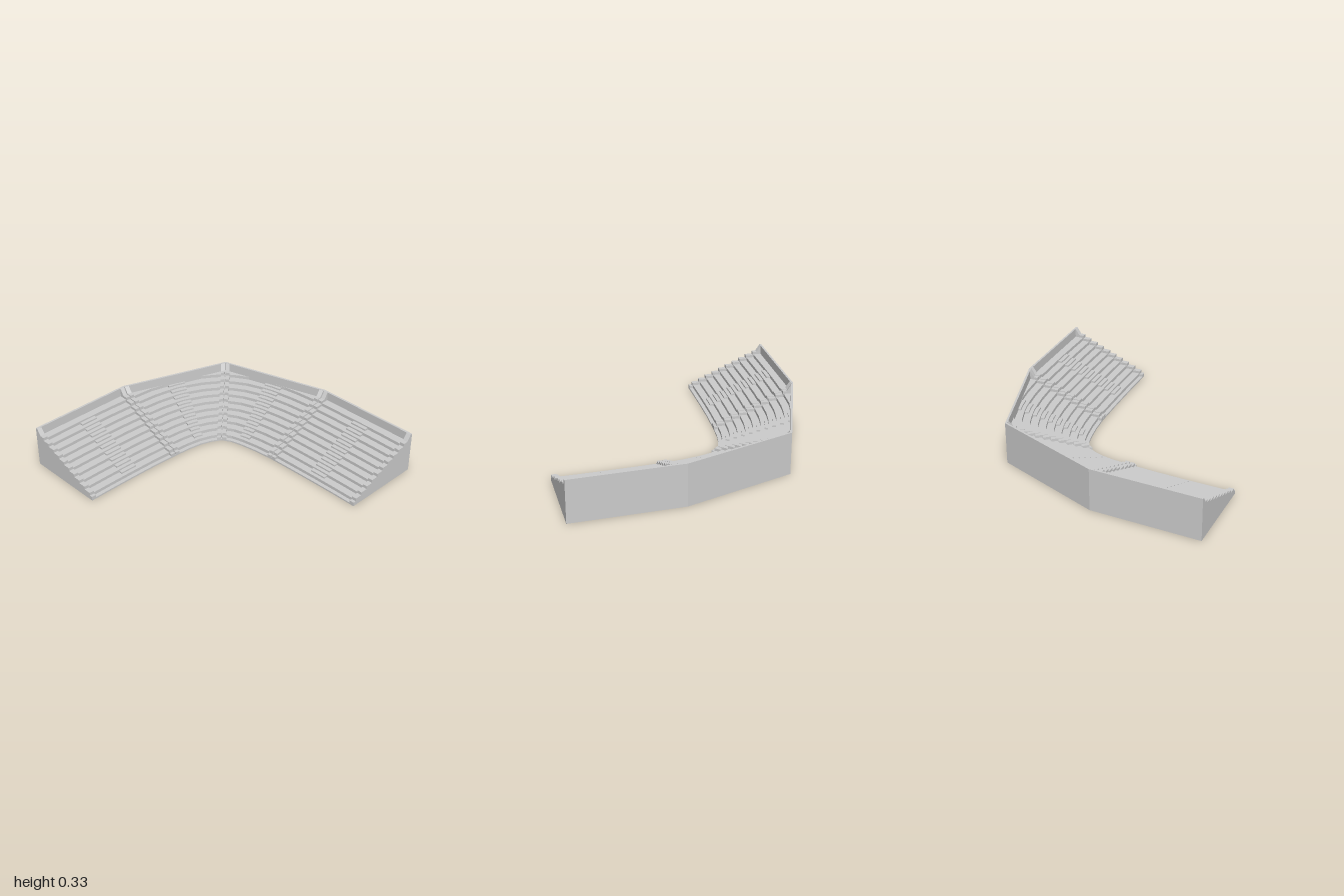
import * as THREE from 'three';

const WALL_TOP = 0.33, WALL = 0.016, TIERS = 11;
const CURB_WIDTH = 0.038, CURB_GAP = 0.004, CURB_RISE = 0.02;
const tierY = k => 0.012 + 0.0248 * k;          // tread height of tier k
const riserD = k => 0.03 + 0.0577 * (k - 1);    // distance of riser k from the inner edge

// Each section: inner edge points, and the two ends of its straight back wall
const SECTIONS = [
  { inner: [[-0.972, -0.372], [-0.78, -0.371], [-0.58, -0.368], [-0.37, -0.362], [-0.17, -0.35]],
    outer: [[-0.972, -1], [-0.14, -0.982]] },
  { inner: [[-0.17, -0.35], [-0.03, -0.338], [0.07, -0.32], [0.155, -0.29], [0.225, -0.25]],
    outer: [[-0.14, -0.982], [0.685, -0.675]] },
  { inner: [[0.225, -0.25], [0.262, -0.185], [0.285, -0.1], [0.308, 0.03], [0.325, 0.19]],
    outer: [[0.685, -0.675], [0.953, 0.16]] },
  { inner: [[0.325, 0.19], [0.332, 0.4], [0.337, 0.6], [0.34, 0.8], [0.34, 1]],
    outer: [[0.953, 0.16], [0.972, 1]] },
];

const v2 = p => new THREE.Vector2(p[0], p[1]);

// Point on an evenly parametrised polyline
function along(points, s) {
  const f = s * (points.length - 1);
  const i = Math.min(Math.floor(f), points.length - 2);
  return v2(points[i]).lerp(v2(points[i + 1]), f - i);
}

// Line across the stand, from its inner edge to its back
function rail(section, sInner, sOuter = sInner) {
  const p = along(section.inner, sInner);
  const q = along(section.outer, sOuter);
  return { p, length: p.distanceTo(q), dir: q.clone().sub(p).normalize() };
}

// Solid spanning several rails; profile(length) gives [distance, height] points
function loft(rails, profile) {
  const profiles = rails.map(r => profile(r.length));
  const rings = rails.map((r, i) => profiles[i].map(([d, y]) =>
    new THREE.Vector3(r.p.x + r.dir.x * d, y, r.p.y + r.dir.y * d)));
  const pos = [];
  const tri = (a, b, c) => {
    if (new THREE.Triangle(a, b, c).getArea() > 1e-9)
      for (const v of [a, b, c]) pos.push(v.x, v.y, v.z);
  };
  const n = rings[0].length;
  for (let i = 0; i < rings.length - 1; i++) {
    for (let j = 0; j < n; j++) {
      const k = (j + 1) % n, A = rings[i], B = rings[i + 1];
      tri(A[j], B[j], B[k]);
      tri(A[j], B[k], A[k]);
    }
  }
  // End caps
  const cap = (index, sign) => {
    const flat = profiles[index].map(v2), ring = rings[index];
    for (const [a, b, c] of THREE.ShapeUtils.triangulateShape(flat, [])) {
      const area = THREE.ShapeUtils.area([flat[a], flat[b], flat[c]]);
      if (area * sign > 0) tri(ring[a], ring[b], ring[c]);
      else tri(ring[a], ring[c], ring[b]);
    }
  };
  cap(0, -1);
  cap(rings.length - 1, 1);
  const geometry = new THREE.BufferGeometry();
  geometry.setAttribute('position', new THREE.Float32BufferAttribute(pos, 3));
  geometry.computeVertexNormals();
  return geometry;
}

// Tiers cut off by the straight back wall
function standProfile(length) {
  const back = length - WALL;
  const pts = [[0, 0], [0, tierY(0)]];
  for (let k = 1; k < TIERS; k++) {
    const d = Math.min(riserD(k), back);
    pts.push([d, tierY(k - 1)], [d, tierY(k)]);
  }
  pts.push([back, tierY(TIERS - 1)], [back, WALL_TOP], [length, WALL_TOP], [length, 0]);
  return pts;
}

// Raised stepped edge that ramps up to the wall top
function curbProfile(length) {
  const pts = [[0, 0.002], [0, tierY(0) + CURB_RISE]];
  for (let k = 1; k < TIERS; k++) {
    const d = riserD(k) - 0.006;
    pts.push([d, tierY(k - 1) + CURB_RISE], [d, tierY(k) + CURB_RISE]);
  }
  pts.push([length - 0.05, tierY(TIERS - 1) + CURB_RISE], [length - 0.017, WALL_TOP - 0.001],
    [length - 0.006, WALL_TOP - 0.001], [length - 0.006, 0.002]);
  return pts;
}

// Half-height step resting against riser k
const stepProfile = k => length => {
  const clip = d => Math.min(d, length - 0.01);
  const d0 = clip(riserD(k) - 0.03), d1 = clip(riserD(k) + 0.002);
  const y0 = tierY(k - 1) - 0.003, y1 = tierY(k - 1) + 0.0125;
  return [[d0, y0], [d0, y1], [d1, y1], [d1, y0]];
};

export function createModel() {
  const model = new THREE.Group();
  model.name = 'cornerGrandstand';
  const material = new THREE.MeshStandardMaterial({ color: 0xcccccc, flatShading: true });
  const add = (parent, name, geometry) => {
    const mesh = new THREE.Mesh(geometry, material);
    mesh.name = name;
    parent.add(mesh);
  };

  SECTIONS.forEach((section, index) => {
    const group = new THREE.Group();
    group.name = `standSection${index + 1}`;
    model.add(group);

    // Tiered body with back wall
    const stations = Array.from({ length: 9 }, (_, i) => rail(section, i / 8));
    add(group, 'tieredBody', loft(stations, standProfile));

    // Stepped curbs at both ends, of even width from front to back
    const pts = section.inner;
    const firstSpan = v2(pts[0]).distanceTo(v2(pts[1])) * 4;
    const lastSpan = v2(pts[3]).distanceTo(v2(pts[4])) * 4;
    const wallSpan = v2(section.outer[0]).distanceTo(v2(section.outer[1]));
    const startRail = w => rail(section, w / firstSpan, w / wallSpan);
    const endRail = w => rail(section, 1 - w / lastSpan, 1 - w / wallSpan);
    const startGap = index === 0 ? 0 : CURB_GAP;
    const endGap = index === SECTIONS.length - 1 ? 0 : CURB_GAP;
    add(group, 'startCurb', loft([startRail(startGap), startRail(CURB_WIDTH)], curbProfile));
    add(group, 'endCurb', loft([endRail(CURB_WIDTH), endRail(endGap)], curbProfile));

    // Central stairway of half steps
    const stairRails = [0.42, 0.5, 0.585].map(s => rail(section, s));
    for (let k = 2; k < TIERS; k++) add(group, 'stairStep', loft(stairRails, stepProfile(k)));
  });
  return model;
}
